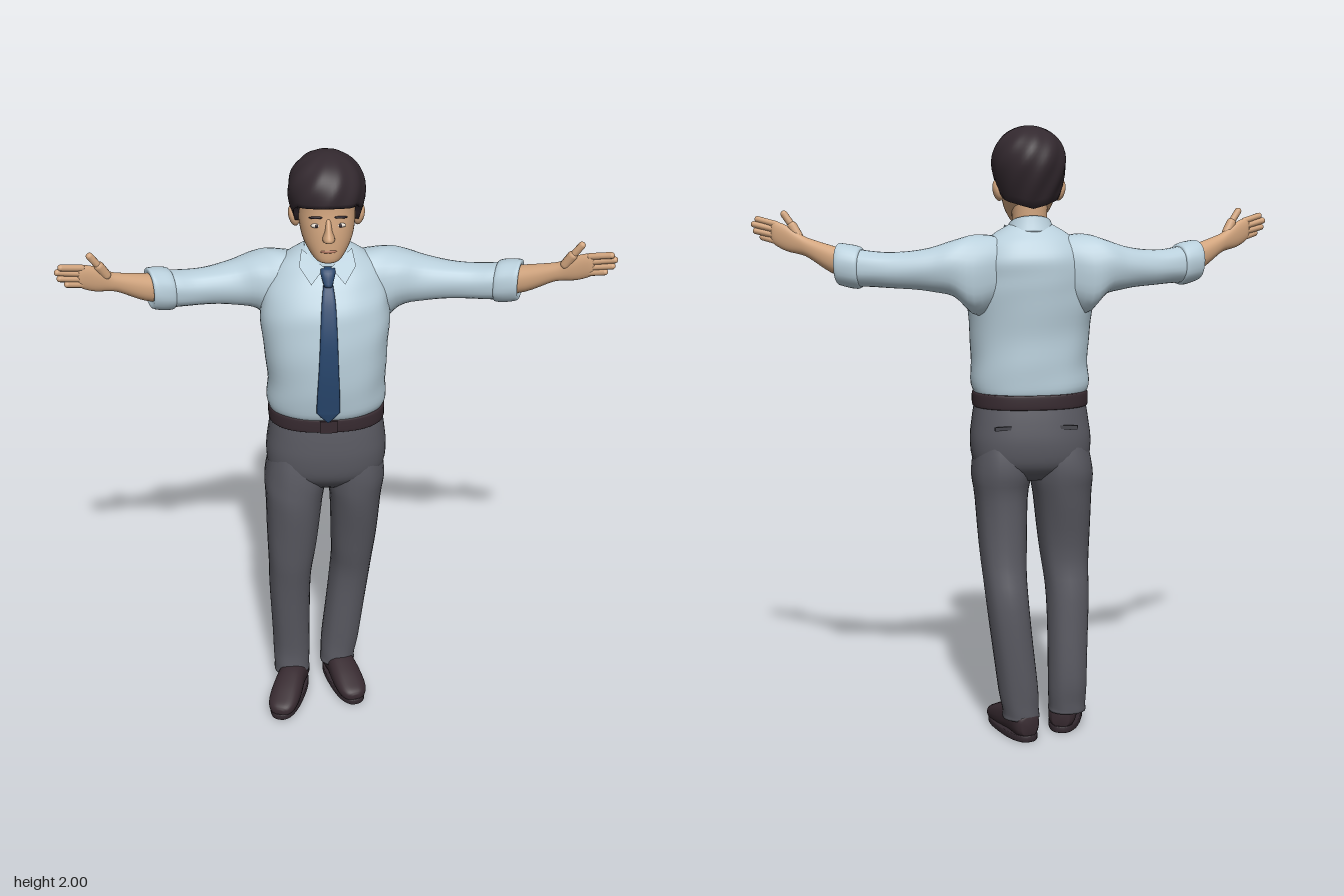
import * as THREE from 'three';

const V3 = (x, y, z) => new THREE.Vector3(x, y, z);
const paint = (color) => new THREE.MeshStandardMaterial({ color });
const X = V3(1, 0, 0), Y = V3(0, 1, 0), Z = V3(0, 0, 1);
const MID = -0.028; // centre line of the body

// Closed surface through rings of equal length, capped at both ends
function skin(rings, flip) {
  const n = rings[0].length, pos = [], idx = [];
  rings.forEach((r) => r.forEach((p) => pos.push(p.x, p.y, p.z)));
  const tri = (a, b, c) => (flip ? idx.push(a, c, b) : idx.push(a, b, c));
  for (let i = 0; i < rings.length - 1; i++) {
    for (let j = 0; j < n; j++) {
      const a = i * n + j, b = i * n + (j + 1) % n;
      tri(a, b, a + n);
      tri(b, b + n, a + n);
    }
  }
  [0, rings.length - 1].forEach((k) => {
    const c = rings[k].reduce((s, p) => s.add(p), V3(0, 0, 0)).divideScalar(n);
    const ci = pos.length / 3;
    pos.push(c.x, c.y, c.z);
    for (let j = 0; j < n; j++) {
      const a = k * n + j, b = k * n + (j + 1) % n;
      if (k === 0) tri(ci, b, a); else tri(ci, a, b);
    }
  });
  const g = new THREE.BufferGeometry();
  g.setAttribute('position', new THREE.Float32BufferAttribute(pos, 3));
  g.setIndex(idx);
  g.computeVertexNormals();
  return g;
}

// Smooth loft; rows are [x, y, z, half-size along U, half-size along V]
function loft(rows, U, V, { e = 2.2, n = 32, sub = 4, ripple = 0 } = {}) {
  const path = new THREE.CatmullRomCurve3(rows.map((r) => V3(r[0], r[1], r[2])), false, 'catmullrom');
  const size = new THREE.CatmullRomCurve3(rows.map((r) => V3(r[3], r[4], 0)), false, 'catmullrom');
  const steps = (rows.length - 1) * sub, rings = [];
  const pw = (v) => Math.sign(v) * Math.abs(v) ** (2 / e);
  for (let i = 0; i <= steps; i++) {
    const c = path.getPoint(i / steps), s = size.getPoint(i / steps), ring = [];
    for (let j = 0; j < n; j++) {
      const t = (j / n) * Math.PI * 2;
      const k = 1 + ripple * Math.sin(t * 5 + i * 0.7) * Math.sin(t * 3 - i * 0.45);
      ring.push(c.clone().addScaledVector(U, pw(Math.cos(t)) * s.x * k).addScaledVector(V, pw(Math.sin(t)) * s.y * k));
    }
    rings.push(ring);
  }
  const dir = path.getPoint(1).sub(path.getPoint(0));
  return skin(rings, U.clone().cross(V).dot(dir) < 0);
}

// Hair cap whose lower edge follows a hairline
function hairGeometry() {
  const line = [[0, 1.872], [0.9, 1.86], [1.2, 1.835], [1.38, 1.79], [1.6, 1.82], [1.9, 1.77], [3.2, 1.74]];
  const edge = (a) => {
    const i = line.findIndex((p, k) => k > 0 && a <= p[0]);
    const [p, q] = [line[i - 1], line[i]];
    return THREE.MathUtils.lerp(p[1], q[1], (a - p[0]) / (q[0] - p[0]));
  };
  const rings = [], n = 64;
  for (let i = -1; i <= 20; i++) {
    const t = Math.max(0, i) / 20.4, ring = [];
    for (let j = 0; j < n; j++) {
      const th = (j / n) * Math.PI * 2, low = edge(Math.acos(Math.sin(th)));
      const y = low + (2 - low) * (1 - (1 - t) ** 2);
      let f = y > 1.88 ? Math.sqrt(1 - ((y - 1.88) / 0.12) ** 2.2) : 1 - 0.3 * ((1.88 - y) / 0.14) ** 1.5;
      f *= (i < 0 ? 0.72 : 1) * (1 + 0.018 * Math.sin(9 * th + 45 * (y - 1.88)));
      ring.push(V3(MID + 0.118 * f * Math.cos(th), y, -0.013 + 0.14 * f * Math.sin(th)));
    }
    rings.push(ring);
  }
  return skin(rings, true);
}

export function createModel() {
  const model = new THREE.Group();
  const shirt = paint(0xb9cfdb), trousers = paint(0x5a5a62), skinTone = paint(0xd2a57e), hair = paint(0x33292f);
  const tie = paint(0x27456b), leather = paint(0x372a30), seam = paint(0x47474e), eyeWhite = paint(0xe6dccf), lips = paint(0xb0765e);
  shirt.side = THREE.DoubleSide;

  const add = (name, geo, mat, parent = model) => {
    const m = new THREE.Mesh(geo, mat);
    m.name = name;
    parent.add(m);
    return m;
  };
  const blob = (name, mat, p, s) => {
    const m = add(name, new THREE.SphereGeometry(1, 20, 14), mat);
    m.position.set(...p);
    m.scale.set(...s);
    return m;
  };
  const digit = (name, a, b, r) => {
    const d = b.clone().sub(a);
    const m = add(name, new THREE.CapsuleGeometry(r, d.length() - r, 5, 10), skinTone);
    m.position.copy(a).add(b).multiplyScalar(0.5);
    m.quaternion.setFromUnitVectors(Y, d.normalize());
  };

  // Shirt body, tucked in over the belt
  add('shirtBody', loft([
    [-0.032, 1.14, -0.018, 0.178, 0.13], [-0.032, 1.175, -0.013, 0.192, 0.142], [-0.03, 1.25, -0.008, 0.189, 0.148],
    [-0.032, 1.35, -0.006, 0.195, 0.149], [-0.033, 1.45, -0.017, 0.205, 0.149], [-0.033, 1.52, -0.028, 0.2, 0.143],
    [-0.03, 1.58, -0.046, 0.187, 0.126], [MID, 1.63, -0.052, 0.157, 0.098], [MID, 1.665, -0.05, 0.112, 0.072],
    [MID, 1.69, -0.05, 0.07, 0.05]], X, Z, { n: 48, ripple: 0.008 }), shirt);

  // Collar band and its two pointed flaps
  add('collarBand', loft([[MID, 1.635, -0.03, 0.09, 0.088], [MID, 1.665, -0.03, 0.078, 0.078], [MID, 1.692, -0.03, 0.067, 0.07]],
    X, V3(0, -0.4, 1)), shirt);
  for (const s of [1, -1]) {
    const flap = [[0.01, 1.652, 0.056], [0.052, 1.605, 0.08], [0.088, 1.648, 0.036], [0.078, 1.688, -0.01]];
    const g = new THREE.BufferGeometry();
    g.setAttribute('position', new THREE.Float32BufferAttribute(flap.flatMap(([x, y, z]) => [MID + s * x, y, z]), 3));
    g.setIndex(s > 0 ? [0, 1, 2, 0, 2, 3] : [0, 2, 1, 0, 3, 2]);
    g.computeVertexNormals();
    add('collarFlap', g, shirt);
  }

  // Tie
  add('tieKnot', loft([[MID, 1.65, 0.052, 0.022, 0.012], [MID, 1.635, 0.062, 0.023, 0.016], [MID, 1.6, 0.08, 0.013, 0.012]], X, Z, { n: 16 }), tie);
  add('tieBlade', loft([
    [MID, 1.61, 0.07, 0.014, 0.007], [MID, 1.55, 0.105, 0.022, 0.007], [-0.029, 1.45, 0.136, 0.027, 0.007],
    [-0.03, 1.35, 0.146, 0.031, 0.007], [-0.031, 1.27, 0.145, 0.035, 0.007], [-0.032, 1.2, 0.14, 0.037, 0.007],
    [-0.032, 1.185, 0.139, 0.033, 0.007], [-0.032, 1.155, 0.136, 0.003, 0.005]], X, Z, { n: 16, e: 3 }), tie);

  // Arms, with the shoulder roots following the offset body
  for (const s of [1, -1]) {
    const px = (x) => s * x - 0.033 * Math.max(0, 1 - x / 0.55);
    const rows = (list) => list.map(([x, ...r]) => [px(x), ...r]);
    const across = V3(-0.34 * s, 0, 0.94);
    add('sleeve', loft(rows([
      [0.06, 1.55, -0.06, 0.1, 0.08], [0.16, 1.533, -0.072, 0.128, 0.1], [0.235, 1.556, -0.075, 0.09, 0.09],
      [0.31, 1.552, -0.073, 0.068, 0.073], [0.42, 1.55, -0.055, 0.056, 0.06], [0.5, 1.555, -0.034, 0.058, 0.058],
      [0.55, 1.56, -0.02, 0.058, 0.056]]), Y, across, { ripple: 0.02 }), shirt);
    add('rolledCuff', loft(rows([
      [0.51, 1.556, -0.033, 0.054, 0.052], [0.518, 1.557, -0.03, 0.066, 0.063], [0.565, 1.566, -0.012, 0.067, 0.063],
      [0.58, 1.569, -0.006, 0.061, 0.057], [0.577, 1.568, -0.007, 0.042, 0.04]]), Y, across, { ripple: 0.015 }), shirt);
    add('forearmAndPalm', loft(rows([
      [0.53, 1.56, -0.025, 0.046, 0.044], [0.6, 1.582, 0.01, 0.043, 0.036], [0.67, 1.615, 0.047, 0.031, 0.025],
      [0.7, 1.628, 0.062, 0.033, 0.02], [0.74, 1.645, 0.082, 0.041, 0.017], [0.775, 1.66, 0.1, 0.038, 0.014],
      [0.787, 1.663, 0.105, 0.028, 0.008]]), Y, across), skinTone);
    [[0.835, 1.705], [0.847, 1.689], [0.841, 1.668], [0.82, 1.648]].forEach(([x, y], i) =>
      digit('finger', V3(s * 0.768, 1.688 - i * 0.018, 0.098), V3(s * x, y, 0.132 - i * 0.002), 0.0105));
    digit('thumb', V3(s * 0.7, 1.645, 0.068), V3(s * 0.725, 1.69, 0.082), 0.016);
    digit('thumbTip', V3(s * 0.722, 1.685, 0.081), V3(s * 0.75, 1.726, 0.09), 0.0115);
  }

  // Head and neck
  add('neck', loft([[MID, 1.62, -0.04, 0.06, 0.06], [MID, 1.69, -0.03, 0.055, 0.06], [MID, 1.78, -0.02, 0.06, 0.07]], X, Z), skinTone);
  add('head', loft([
    [MID, 1.683, 0.07, 0.022, 0.025], [MID, 1.695, 0.055, 0.045, 0.054], [MID, 1.74, 0.02, 0.074, 0.09],
    [MID, 1.79, 0, 0.086, 0.107], [MID, 1.84, -0.01, 0.088, 0.11], [MID, 1.9, -0.01, 0.085, 0.105],
    [MID, 1.95, -0.01, 0.065, 0.08], [MID, 1.975, -0.01, 0.025, 0.03]], X, Z, { n: 40 }), skinTone);
  add('nose', loft([
    [MID, 1.828, 0.092, 0.008, 0.01], [MID, 1.795, 0.102, 0.011, 0.023], [MID, 1.768, 0.108, 0.019, 0.031],
    [MID, 1.756, 0.1, 0.011, 0.016]], X, Z, { n: 20, e: 2 }), skinTone);
  add('hair', hairGeometry(), hair);
  blob('mouth', lips, [MID, 1.727, 0.106], [0.025, 0.006, 0.006]);
  for (const s of [1, -1]) {
    blob('ear', skinTone, [MID + s * 0.1, 1.797, -0.018], [0.017, 0.034, 0.024]).rotation.z = -s * 0.2;
    blob('eye', eyeWhite, [MID + s * 0.037, 1.807, 0.095], [0.016, 0.007, 0.006]);
    blob('iris', hair, [MID + s * 0.036, 1.807, 0.0985], [0.006, 0.006, 0.004]);
    const brow = blob('eyebrow', hair, [MID + s * 0.038, 1.832, 0.094], [0.022, 0.004, 0.006]);
    brow.rotation.set(0, s * 0.3, -s * 0.1);
  }

  // Belt
  add('belt', loft([[-0.031, 1.106, -0.018, 0.182, 0.133], [-0.031, 1.112, -0.018, 0.188, 0.138],
    [-0.031, 1.148, -0.018, 0.188, 0.138], [-0.031, 1.154, -0.018, 0.182, 0.133]], X, Z, { n: 48, e: 2.4 }), leather);
  add('buckle', new THREE.BoxGeometry(0.055, 0.042, 0.012), leather).position.set(-0.03, 1.13, 0.12);

  // Trousers
  add('hips', loft([
    [-0.031, 1.125, -0.018, 0.18, 0.13], [-0.031, 1.06, -0.02, 0.19, 0.138], [-0.032, 0.99, -0.022, 0.197, 0.141],
    [-0.033, 0.92, -0.022, 0.185, 0.128], [-0.033, 0.87, -0.02, 0.13, 0.085]], X, Z, { n: 48, e: 2.4 }), trousers);
  add('leftLeg', loft([
    [0.06, 1.03, -0.022, 0.085, 0.115], [0.064, 0.9, -0.027, 0.097, 0.125], [0.065, 0.8, -0.026, 0.086, 0.11],
    [0.061, 0.6, -0.055, 0.075, 0.09], [0.051, 0.45, -0.085, 0.069, 0.085], [0.022, 0.2, -0.09, 0.067, 0.07],
    [0.01, 0.1, -0.088, 0.061, 0.064], [0.008, 0.07, -0.086, 0.061, 0.064]], X, Z, { ripple: 0.015 }), trousers);
  add('rightLeg', loft([
    [-0.125, 1.03, -0.022, 0.085, 0.115], [-0.133, 0.9, -0.02, 0.102, 0.13], [-0.14, 0.8, -0.01, 0.095, 0.12],
    [-0.15, 0.6, -0.002, 0.08, 0.088], [-0.158, 0.45, -0.022, 0.07, 0.083], [-0.155, 0.2, -0.045, 0.065, 0.07],
    [-0.155, 0.1, -0.04, 0.062, 0.064], [-0.155, 0.07, -0.038, 0.062, 0.064]], X, Z, { ripple: 0.015 }), trousers);
  for (const s of [1, -1]) {
    const pocket = add('backPocket', new THREE.BoxGeometry(0.085, 0.012, 0.009), seam);
    pocket.position.set(-0.031 + s * 0.092, 1.05, -0.15);
    pocket.rotation.y = s * 0.22;
  }

  // Shoes, toes turned outwards
  for (const [name, x, z, turn] of [['leftShoe', 0.025, -0.028, 0.3], ['rightShoe', -0.165, 0.043, -0.3]]) {
    const shoe = new THREE.Group();
    shoe.name = name;
    shoe.position.set(x, 0, z);
    shoe.rotation.y = turn;
    model.add(shoe);
    add('upper', loft([
      [0, 0.05, -0.127, 0.028, 0.032], [0, 0.057, -0.1, 0.045, 0.047], [0, 0.061, -0.03, 0.047, 0.051],
      [0, 0.05, 0.04, 0.052, 0.042], [0, 0.038, 0.1, 0.049, 0.029], [0, 0.032, 0.13, 0.035, 0.02],
      [0, 0.028, 0.141, 0.015, 0.01]], X, Y, { n: 28, e: 2.5 }), leather, shoe);
    add('sole', loft([[0, 0, 0.006, 0.05, 0.137], [0, 0.004, 0.006, 0.053, 0.14], [0, 0.018, 0.006, 0.053, 0.14],
      [0, 0.022, 0.006, 0.05, 0.137]], X, Z, { n: 40, e: 2.5, sub: 2 }), hair, shoe);
  }
  return model;
}
